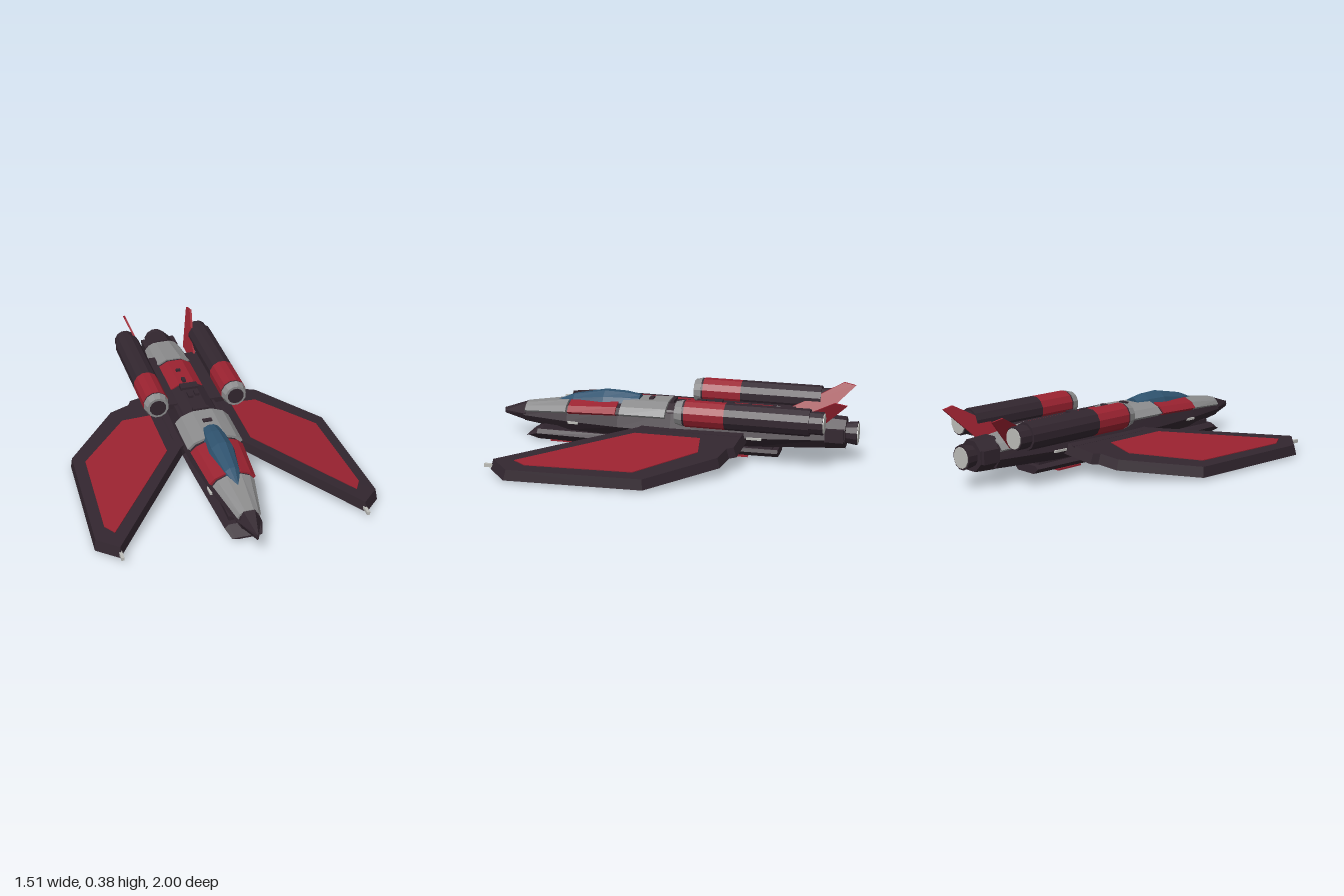
import * as THREE from 'three';

const mat = (name, color) => Object.assign(new THREE.MeshStandardMaterial({ color }), { name });

export function createModel() {
  const dark = mat('dark plating', 0x32262f);
  const red = mat('red panels', 0x9a2230);
  const grey = mat('grey plating', 0x8c8c8d);
  const blue = mat('canopy blue', 0x2f536f);
  const light = mat('pale metal', 0xbcbcb8);
  const root = new THREE.Group();
  root.name = 'spacecraft';

  const add = (name, geo, material) => {
    const g = geo.index ? geo.toNonIndexed() : geo;
    g.computeVertexNormals(); // faceted look
    const m = new THREE.Mesh(g, material);
    m.name = name;
    root.add(m);
    return m;
  };
  const box = (name, material, w, h, d, x, y, z) =>
    add(name, new THREE.BoxGeometry(w, h, d).translate(x, y, z), material);

  // Skin over cross-sections from front to back; each is [z, right-hand points from bottom to top]
  const loft = (name, material, sections) => {
    const rings = sections.map(([z, half]) => [
      ...half.map(([x, y]) => new THREE.Vector3(x, y, z)),
      ...half.slice().reverse().map(([x, y]) => new THREE.Vector3(-x, y, z)),
    ]);
    const n = rings[0].length, pts = [];
    for (let s = 0; s < rings.length - 1; s++) {
      const a = rings[s], b = rings[s + 1];
      for (let i = 0; i < n; i++) {
        const j = (i + 1) % n;
        pts.push(a[i], b[i], b[j], a[i], b[j], a[j]);
      }
    }
    const first = rings[0], last = rings[rings.length - 1];
    for (let i = 1; i < n - 1; i++) {
      pts.push(first[0], first[i], first[i + 1], last[0], last[i + 1], last[i]);
    }
    return add(name, new THREE.BufferGeometry().setFromPoints(pts), material);
  };

  // Lower hull: [z, half width, bottom, widest height, top]
  const hull = ([z, w, yb, ym, yt]) => [z, [[w * 0.64, yb], [w, ym], [w * 0.78, yt]]];
  loft('lowerHull', dark, [
    [0.87, 0.058, 0.1, 0.135, 0.175], [0.6, 0.108, 0.075, 0.135, 0.2], [0.3, 0.138, 0.07, 0.135, 0.225],
    [0, 0.15, 0.065, 0.135, 0.23], [-0.45, 0.138, 0.07, 0.13, 0.23], [-0.83, 0.1, 0.088, 0.14, 0.21],
  ].map(hull));
  loft('noseCone', dark, [
    [1, [[0.003, 0.125], [0.006, 0.14], [0.003, 0.155]]],
    [0.86, [[0.036, 0.1], [0.06, 0.145], [0.03, 0.2]]],
  ]);

  // Upper shell segments: [z, half width, bottom, top]
  const shell = ([z, w, yb, yt]) => {
    const h = yt - yb;
    return [z, [[w * 0.72, yb], [w, yb + h * 0.32], [w * 0.78, yb + h * 0.72], [w * 0.36, yt]]];
  };
  const segments = [
    ['noseShell', grey, [0.86, 0.062, 0.148, 0.203], [0.605, 0.112, 0.168, 0.24]],
    ['cockpitShell', red, [0.59, 0.124, 0.172, 0.243], [0.31, 0.145, 0.185, 0.262]],
    ['shoulderShell', grey, [0.285, 0.152, 0.188, 0.268], [0.03, 0.152, 0.188, 0.275]],
    ['midShell', dark, [0.03, 0.118, 0.175, 0.266], [-0.26, 0.118, 0.175, 0.266]],
    ['dorsalShell', red, [-0.27, 0.117, 0.172, 0.268], [-0.53, 0.117, 0.172, 0.268]],
    ['tailShell', grey, [-0.55, 0.125, 0.168, 0.268], [-0.82, 0.105, 0.165, 0.238]],
  ];
  segments.forEach(([name, m, ...s]) => loft(name, m, s.map(shell)));
  loft('shellSeams', dark, [[0.6, 0.108, 0.17, 0.235], [0.29, 0.138, 0.185, 0.255],
    [0, 0.112, 0.18, 0.26], [-0.54, 0.112, 0.17, 0.262], [-0.82, 0.1, 0.165, 0.232]].map(shell));

  // Canopy: [z, half width, base, top]
  loft('canopy', blue, [
    [0.69, 0.006, 0.215, 0.224], [0.58, 0.048, 0.222, 0.268], [0.4, 0.073, 0.238, 0.303],
    [0.28, 0.066, 0.245, 0.3], [0.2, 0.05, 0.255, 0.288],
  ].map(([z, w, yb, yt]) => [z, [[w, yb], [w * 0.78, yb + (yt - yb) * 0.6], [w * 0.28, yt]]]));

  // Dorsal fittings
  for (const [w, d, x, z] of [[0.05, 0.025, 0, 0.135], [0.025, 0.05, -0.018, -0.14], [0.025, 0.04, 0.022, -0.15],
    [0.02, 0.04, -0.01, -0.3], [0.025, 0.015, -0.012, -0.41], [0.1, 0.05, 0, -0.23], [0.09, 0.02, 0, 0.01]]) {
    box('dorsalFitting', dark, w, 0.02, d, x, 0.27, z);
  }

  // Keel and belly plates
  loft('keel', dark, [
    [0.845, 0.08, 0.02, 0.03], [0.78, 0.1, 0.008, 0.07], [0.3, 0.125, 0.008, 0.075], [0, 0.133, 0.008, 0.07],
    [-0.03, 0.115, 0.01, 0.06], [-0.58, 0.095, 0.012, 0.056],
  ].map(([z, w, yb, yt]) => [z, [[w * 0.65, yb], [w, yb + (yt - yb) * 0.65], [w * 0.8, yt]]]));
  box('keelNeck', dark, 0.14, 0.06, 1.3, 0, 0.065, 0.1);
  for (let i = 0; i < 5; i++) box('bellyPlate', red, 0.14, 0.009, 0.16, 0, 0.0045, 0.63 - i * 0.241);

  // Cylinder along z between two depths
  const tube = (name, m, rFront, rBack, zFront, zBack, x, y, sides = 12) => {
    const g = new THREE.CylinderGeometry(rFront, rBack, zFront - zBack, sides);
    g.rotateY(Math.PI / sides).rotateX(Math.PI / 2).translate(x, y, (zFront + zBack) / 2);
    return add(name, g, m);
  };

  // Main thruster
  tube('thrusterHousing', dark, 0.092, 0.085, -0.81, -0.935, 0, 0.162, 8);
  box('thrusterBlock', dark, 0.2, 0.07, 0.1, 0, 0.165, -0.88);
  tube('thrusterNozzle', dark, 0.055, 0.064, -0.93, -0.995, 0, 0.162);
  tube('thrusterGlow', light, 0.055, 0.055, -0.993, -1, 0, 0.162);

  const outline = [[0.1, 0.14], [0.15, 0.17], [0.65, 0.83], [0.755, 0.72], [0.728, -0.01], [0.43, -0.34],
    [0.32, -0.365], [0.3, -0.4], [0.1, -0.42]];
  const inlay = [[0.235, 0.17], [0.645, 0.7], [0.685, 0.63], [0.66, 0.06], [0.39, -0.215], [0.235, -0.19]];
  // Drooping slab: flat outline, lifted and sheared downwards away from the hull
  const slab = (points, s, lift, depth, inset) => {
    const g = new THREE.ExtrudeGeometry(new THREE.Shape(points.map(([x, z]) => new THREE.Vector2(s * x, -z))),
      { depth, bevelEnabled: false }).rotateX(-Math.PI / 2);
    const p = g.attributes.position;
    for (let i = 0; i < p.count; i++) {
      const k = p.getY(i) > depth / 2 ? inset : 0;
      const x = THREE.MathUtils.lerp(Math.abs(p.getX(i)), 0.45, k);
      p.setXYZ(i, s * x, p.getY(i) + lift - (x - 0.16) * 0.145, THREE.MathUtils.lerp(p.getZ(i), 0.2, k));
    }
    return g;
  };

  for (const s of [1, -1]) {
    // Wing with painted inlay and tip gun
    add('wing', slab(outline, s, 0.097, 0.055, 0.025), dark);
    add('wingInlay', slab(inlay, s, 0.15, 0.006, 0), red);
    box('wingGun', light, 0.016, 0.018, 0.07, s * 0.645, 0.045, 0.83);
    box('wingRoot', dark, 0.06, 0.05, 0.5, s * 0.15, 0.125, -0.15);

    // Engine nacelle
    const x = s * 0.222, y = 0.272;
    tube('nacelleLip', grey, 0.06, 0.071, -0.058, -0.1, x, y);
    tube('nacelleIntake', dark, 0.046, 0.046, -0.055, -0.075, x, y);
    tube('nacelleCollar', dark, 0.069, 0.069, -0.1, -0.13, x, y);
    tube('nacelleBand', red, 0.072, 0.072, -0.11, -0.325, x, y);
    tube('nacelleBody', dark, 0.072, 0.072, -0.325, -0.77, x, y);
    tube('nacelleNozzle', dark, 0.06, 0.06, -0.77, -0.84, x, y);
    tube('nacelleGlow', light, 0.053, 0.053, -0.838, -0.845, x, y);
    box('nacellePylon', dark, 0.09, 0.03, 0.52, s * 0.135, 0.225, -0.38);

    // Canted tail fin
    const fin = new THREE.Shape([[-0.45, 0.19], [-0.79, 0.2], [-0.955, 0.368], [-0.89, 0.38], [-0.79, 0.325],
      [-0.6, 0.23]].map(([z, h]) => new THREE.Vector2(z, h)));
    const g = new THREE.ExtrudeGeometry(fin, { depth: 0.012, bevelEnabled: false })
      .translate(0, 0, -0.006).rotateY(-Math.PI / 2);
    const p = g.attributes.position;
    for (let i = 0; i < p.count; i++) p.setX(i, p.getX(i) + s * (0.125 + (p.getY(i) - 0.19) * 0.4));
    add('tailFin', g, red);

    // Small hull-side fittings
    box('sideVent', light, 0.012, 0.012, 0.06, s * 0.114, 0.132, 0.56);
    box('sideVent', light, 0.012, 0.012, 0.08, s * 0.138, 0.13, -0.46);
  }
  return root;
}
